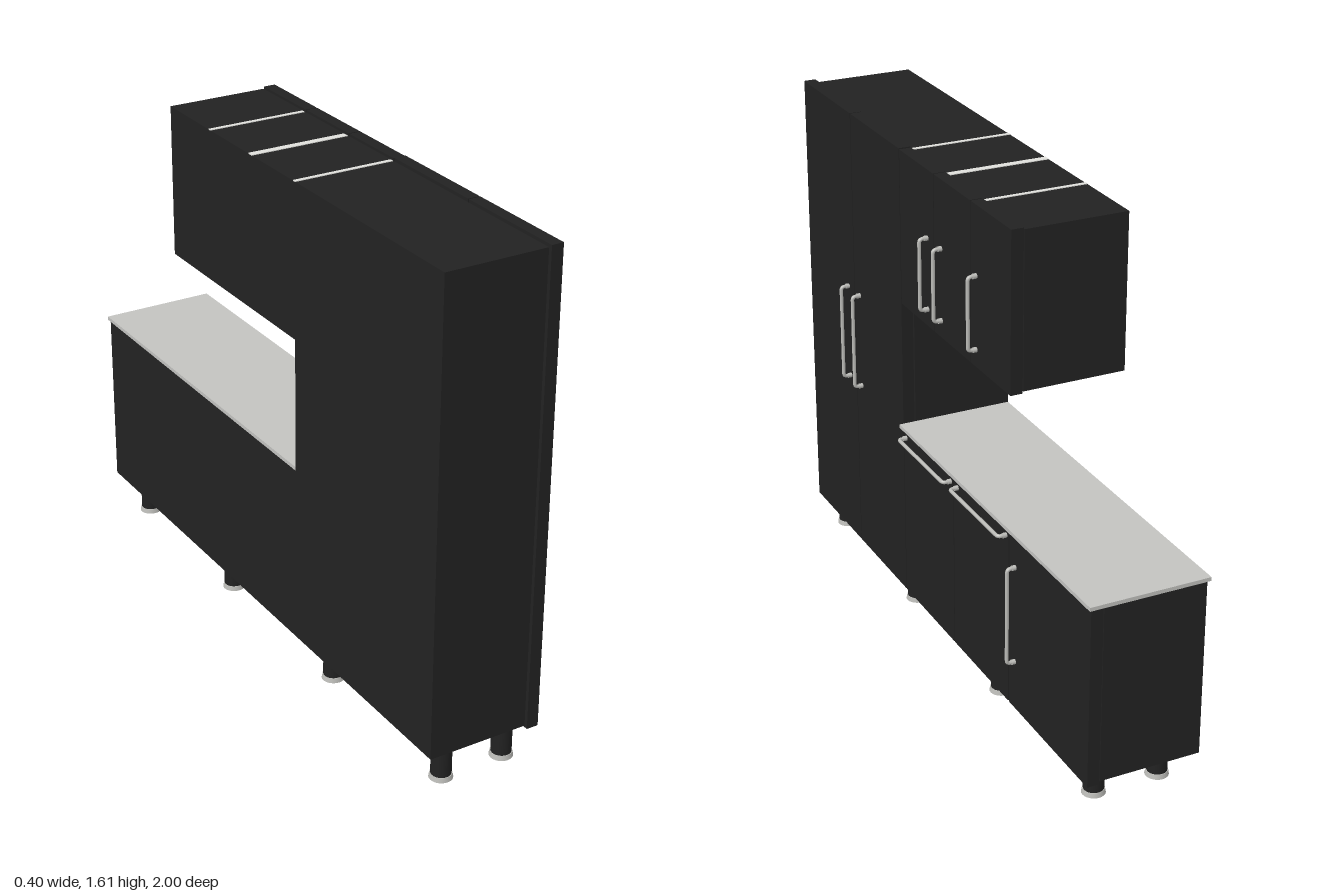
import * as THREE from 'three';

const black = new THREE.MeshStandardMaterial({ color: 0x222222 });
black.name = 'black panel';
const stone = new THREE.MeshStandardMaterial({ color: 0xc3c3c0 });
stone.name = 'pale worktop';
const metal = new THREE.MeshStandardMaterial({ color: 0xbcbcb8 });
metal.name = 'brushed metal';
const seam = new THREE.MeshStandardMaterial({ color: 0xe0e0dc });
seam.name = 'light edge band';

export function createModel() {
  const root = new THREE.Group();
  root.name = 'kitchenUnit';

  // Box given by its limits on each axis
  function box(name, mat, x0, x1, y0, y1, z0, z1) {
    const m = new THREE.Mesh(new THREE.BoxGeometry(x1 - x0, y1 - y0, z1 - z0), mat);
    m.position.set((x0 + x1) / 2, (y0 + y1) / 2, (z0 + z1) / 2);
    m.name = name;
    root.add(m);
    return m;
  }

  // Carcasses
  const back = -0.2, front = 0.123;
  box('tallCabinet', black, back, front, 0.115, 1.597, 0.25, 0.992);
  box('wallCabinet', black, back, front, 1.115, 1.597, -0.49, 0.25);
  box('baseCabinet', black, back, front, 0.115, 0.69, -0.98, 0.25);
  box('worktop', stone, back, 0.178, 0.69, 0.702, -1, 0.25);

  // Doors: bottom, top, z start, z end
  const doors = [
    ['tallDoor', 0.107, 1.605, 0.624, 1.0],
    ['tallDoor', 0.107, 1.605, 0.252, 0.62],
    ['wallDoor', 1.11, 1.603, 0.01, 0.248],
    ['wallDoor', 1.11, 1.603, -0.235, 0.006],
    ['wallDoor', 1.11, 1.603, -0.492, -0.239],
    ['baseDoor', 0.107, 0.689, -0.113, 0.248],
    ['baseDoor', 0.107, 0.689, -0.486, -0.117],
    ['baseDoor', 0.107, 0.689, -0.982, -0.492],
  ];
  for (const [name, y0, y1, z0, z1] of doors) box(name, black, 0.126, 0.164, y0, y1, z0, z1);

  // Pale bands at the cabinet joints
  for (const [z, w] of [[-0.242, 0.013], [0, 0.022], [0.248, 0.013]])
    box('topJoint', seam, back, 0.12, 1.596, 1.599, z - w / 2, z + w / 2);
  box('baseJoint', seam, 0.122, 0.128, 0.115, 0.689, -0.492, -0.486);

  // Bow handle, centred on the middle of its length
  function handle(length, y, z, horizontal) {
    const g = new THREE.Group();
    g.name = 'handle';
    const h = length / 2 - 0.007, out = 0.027, r = 0.012;
    const path = new THREE.CurvePath();
    const v = (x, yy) => new THREE.Vector3(x, yy, 0);
    path.add(new THREE.LineCurve3(v(0, -h), v(out - r, -h)));
    path.add(new THREE.QuadraticBezierCurve3(v(out - r, -h), v(out, -h), v(out, -h + r)));
    path.add(new THREE.LineCurve3(v(out, -h + r), v(out, h - r)));
    path.add(new THREE.QuadraticBezierCurve3(v(out, h - r), v(out, h), v(out - r, h)));
    path.add(new THREE.LineCurve3(v(out - r, h), v(0, h)));
    const bar = new THREE.Mesh(new THREE.TubeGeometry(path, 120, 0.006, 8), metal);
    bar.name = 'handleBar';
    g.add(bar);
    for (const s of [-1, 1]) {
      const pad = new THREE.Mesh(new THREE.CylinderGeometry(0.008, 0.008, 0.012, 12), metal);
      pad.rotation.z = Math.PI / 2;
      pad.position.set(0.006, s * h, 0);
      pad.name = 'handleMount';
      g.add(pad);
    }
    g.position.set(0.164, y, z);
    if (horizontal) g.rotation.x = Math.PI / 2;
    root.add(g);
  }
  for (const z of [0.67, 0.578]) handle(0.33, 0.855, z);
  for (const z of [0.053, -0.042, -0.275]) handle(0.24, 1.278, z);
  handle(0.33, 0.425, -0.53);
  for (const z of [0.067, -0.307]) handle(0.34, 0.66, z, true);

  // Legs with metal feet
  for (const x of [-0.127, 0.082]) for (const z of [0.94, 0.35, -0.275, -0.872]) {
    const leg = new THREE.Mesh(new THREE.CylinderGeometry(0.031, 0.031, 0.103, 24), black);
    leg.position.set(x, 0.0665, z);
    leg.name = 'leg';
    const foot = new THREE.Mesh(new THREE.CylinderGeometry(0.033, 0.036, 0.015, 24), metal);
    foot.position.set(x, 0.0075, z);
    foot.name = 'foot';
    root.add(leg, foot);
  }
  return root;
}
